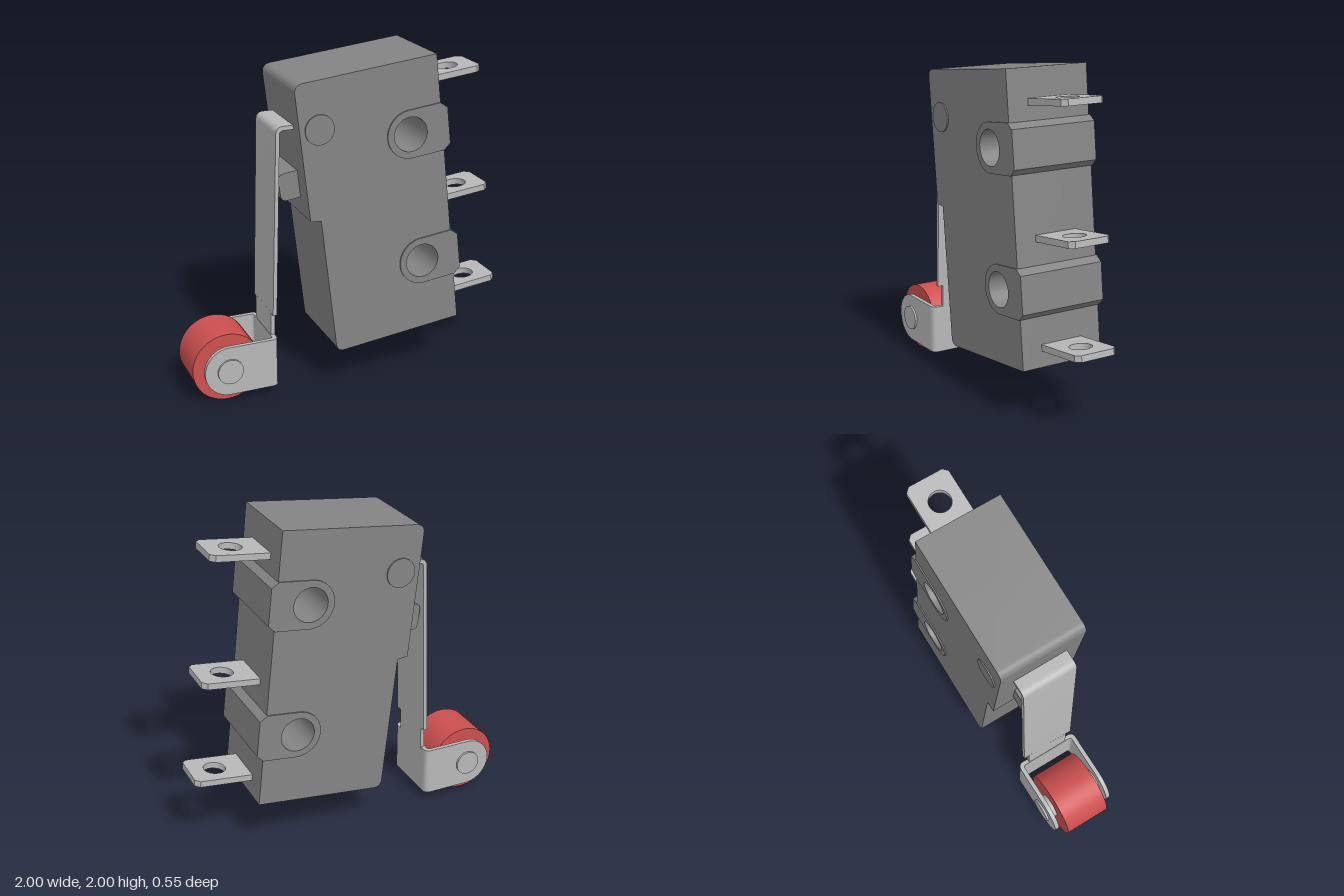
import * as THREE from 'three';
import { toCreasedNormals } from 'three/addons/utils/BufferGeometryUtils.js';

const TILT = 0.116;

function material(name, color, extra = {}) {
  const m = new THREE.MeshStandardMaterial({ color, ...extra });
  m.name = name;
  return m;
}

// Extrudes a shape, centred on z = 0
function slab(shape, depth) {
  const g = new THREE.ExtrudeGeometry(shape, { depth, bevelEnabled: false, curveSegments: 24 });
  g.translate(0, 0, -depth / 2);
  return toCreasedNormals(g, 0.5);
}

// Closed polygon; a point with a third value is a corner rounded by that amount
function outline(points) {
  const s = new THREE.Shape();
  const n = points.length;
  const toward = (a, b, d) => {
    const l = Math.hypot(b[0] - a[0], b[1] - a[1]);
    return [a[0] + (b[0] - a[0]) * d / l, a[1] + (b[1] - a[1]) * d / l];
  };
  points.forEach((p, i) => {
    const r = p[2] || 0;
    const a = r ? toward(p, points[(i + n - 1) % n], r) : p;
    if (i === 0) s.moveTo(a[0], a[1]); else s.lineTo(a[0], a[1]);
    if (r) s.quadraticCurveTo(p[0], p[1], ...toward(p, points[(i + 1) % n], r));
  });
  s.closePath();
  return s;
}

function hole(shape, x, y, r) {
  shape.holes.push(new THREE.Path().absarc(x, y, r, 0, Math.PI * 2, true));
}

function zCylinder(r, length) {
  return new THREE.CylinderGeometry(r, r, length, 48).rotateX(Math.PI / 2);
}

export function createModel() {
  const model = new THREE.Group();
  model.name = 'rollerSwitch';
  const housingGrey = material('housingGrey', 0x848484);
  const metal = material('metal', 0xb8b8b8);
  const red = material('rollerRed', 0xcc4f4f);

  const add = (name, geometry, mat, x = 0, y = 0, z = 0, tilt = 0) => {
    const mesh = new THREE.Mesh(geometry, mat);
    mesh.name = name;
    mesh.position.set(x, y, z);
    mesh.rotation.z = tilt;
    model.add(mesh);
    return mesh;
  };

  // Housing with two mounting holes
  const mounts = [[0.315, 1.54], [0.408, 0.742]];
  const housing = outline([
    [0.66, 0.33], [0.47, 1.995], [-0.395, 1.897, 0.055], [-0.303, 1.093],
    [-0.238, 1.085], [-0.14, 0.237, 0.05],
  ]);
  mounts.forEach(([x, y]) => hole(housing, x, y, 0.108));
  add('housing', slab(housing, 0.53), housingGrey);

  // Raised bosses around the mounting holes
  const boss = new THREE.Shape();
  boss.moveTo(0, -0.145);
  boss.lineTo(0.203, -0.145);
  boss.lineTo(0.245, -0.11);
  boss.lineTo(0.245, 0.11);
  boss.lineTo(0.203, 0.145);
  boss.lineTo(0, 0.145);
  boss.absarc(0, 0, 0.145, Math.PI / 2, Math.PI * 1.5, false);
  hole(boss, 0, 0, 0.104);
  const bossGeometry = slab(boss, 0.546);
  mounts.forEach(([x, y]) => add('mountingBoss', bossGeometry, housingGrey, x, y, 0, TILT));

  // Lever pivot and plunger
  add('pivotPin', zCylinder(0.088, 0.546), housingGrey, -0.245, 1.63);
  add('plunger', slab(outline([
    [-0.28, 1.373], [-0.452, 1.353, 0.04], [-0.433, 1.188, 0.04], [-0.26, 1.21],
  ]), 0.28), housingGrey);

  // Terminals with chamfered tips and round holes
  const blade = outline([
    [-0.42, -0.135], [-0.028, -0.135], [0, -0.108],
    [0, 0.108], [-0.028, 0.135], [-0.42, 0.135],
  ]);
  hole(blade, -0.16, 0, 0.066);
  const bladeGeometry = slab(blade, 0.038).rotateX(-Math.PI / 2);
  [[0.833, 1.849], [0.917, 1.1], [0.993, 0.482]].forEach(([x, y]) =>
    add('terminal', bladeGeometry, metal, x, y, 0, TILT));

  // Bent lever strip and its narrower neck
  add('lever', slab(outline([
    [-0.33, 1.645], [-0.468, 1.645, 0.045], [-0.508, 0.5], [-0.484, 0.5],
    [-0.446, 1.62, 0.022], [-0.33, 1.62],
  ]), 0.34), metal);
  add('leverNeck', slab(outline([
    [-0.508, 0.51], [-0.514, 0.35], [-0.488, 0.35], [-0.484, 0.51],
  ]), 0.27), metal);

  // Fork: bent back plate plus two rounded arms
  const plate = outline([
    [-0.55, -0.205], [-0.49, -0.205, 0.04], [-0.49, 0.205, 0.04], [-0.55, 0.205],
    [-0.55, 0.178], [-0.516, 0.178, 0.018], [-0.516, -0.178, 0.018], [-0.55, -0.178],
  ]);
  add('forkPlate', slab(plate, 0.304).rotateX(-Math.PI / 2), metal, 0, 0.21);
  const arm = new THREE.Shape();
  arm.moveTo(0, -0.152);
  arm.lineTo(0.24, -0.152);
  arm.lineTo(0.24, 0.152);
  arm.lineTo(0, 0.152);
  arm.absarc(0, 0, 0.152, Math.PI / 2, Math.PI * 1.5, false);
  const armGeometry = slab(arm, 0.027);
  for (const side of [-1, 1])
    add('forkArm', armGeometry, metal, -0.79, 0.21, side * 0.1915);

  // Roller on its axle
  add('roller', zCylinder(0.21, 0.29), red, -0.79, 0.21);
  add('axle', zCylinder(0.077, 0.436), metal, -0.79, 0.21);

  return model;
}
